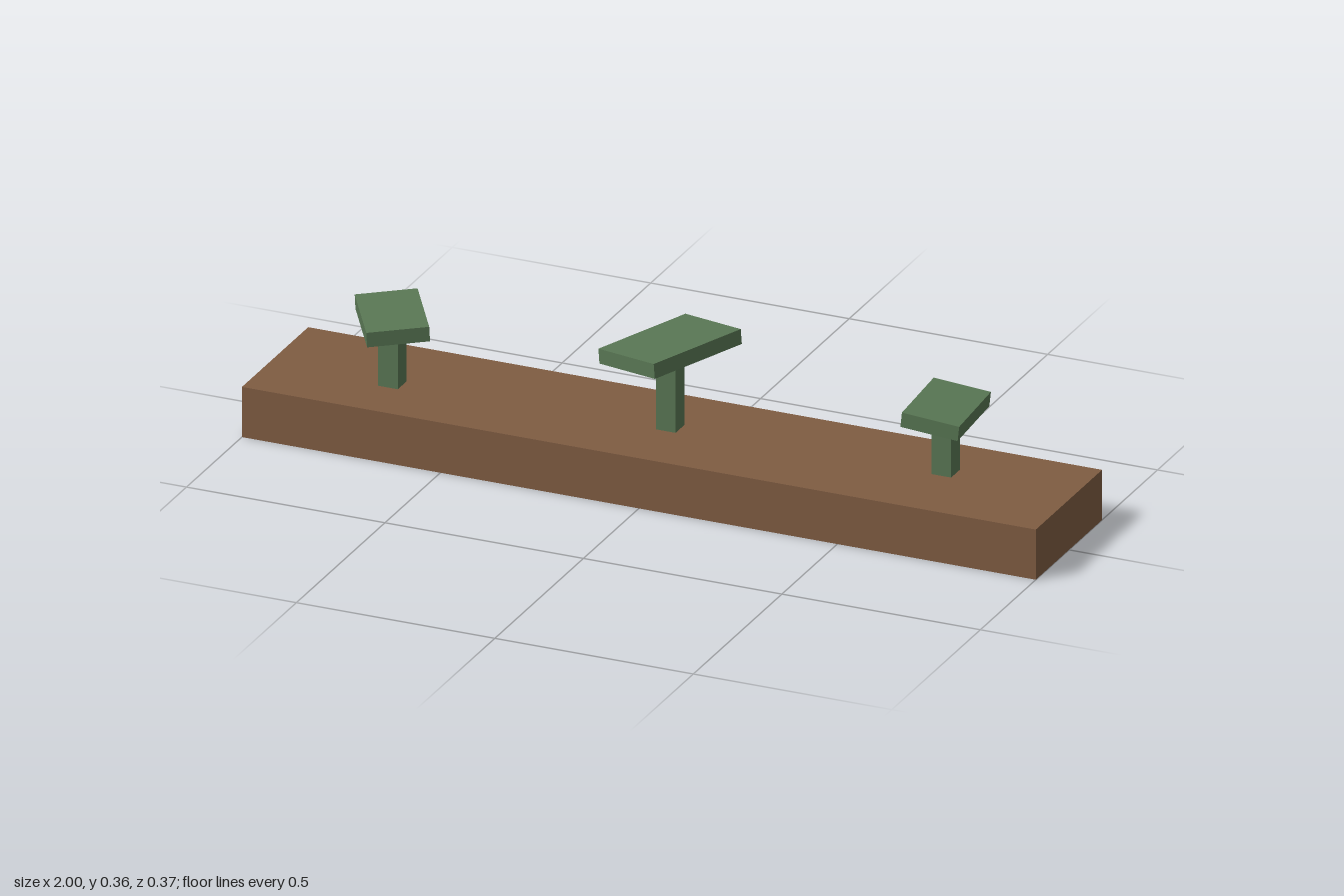
import * as THREE from 'three';

const brown = new THREE.MeshStandardMaterial({ name: 'soil brown', color: 0x7f5c42, side: THREE.DoubleSide });
const green = new THREE.MeshStandardMaterial({ name: 'leaf green', color: 0x597754, side: THREE.DoubleSide });

// Thin-walled box with no underside
function openBox(name, w, h, d, material) {
  const geometry = new THREE.BoxGeometry(w, h, d);
  const index = Array.from(geometry.index.array);
  index.splice(18, 6); // drop the bottom face
  geometry.setIndex(index);
  geometry.clearGroups();
  const mesh = new THREE.Mesh(geometry, material);
  mesh.name = name;
  return mesh;
}

const BASE_HEIGHT = 0.126;
const STEM_WIDTH = 0.05;
const CAP_THICKNESS = 0.0365;

// Each plant: stem position, cap centre height, cap size, yaw and roll in degrees
const plants = [
  { name: 'rightPlant', x: -0.692, z: 0.028, y: 0.291, w: 0.146, d: 0.222, yaw: 31, roll: 3 },
  { name: 'middlePlant', x: -0.007, z: -0.005, y: 0.329, w: 0.181, d: 0.283, yaw: -21, roll: 5.5 },
  { name: 'leftPlant', x: 0.676, z: -0.03, y: 0.283, w: 0.141, d: 0.213, yaw: 4, roll: -6 },
];

function createPlant({ name, x, z, y, w, d, yaw, roll }) {
  const plant = new THREE.Group();
  plant.name = name;
  plant.position.set(x, 0, z);

  // Upright stem ending just inside the hollow cap
  const stemTop = y - 0.02;
  const stemHeight = stemTop - BASE_HEIGHT;
  const stem = openBox('stem', STEM_WIDTH, stemHeight, STEM_WIDTH, green);
  stem.position.y = BASE_HEIGHT + stemHeight / 2;

  // Turned and tilted cap
  const cap = openBox('cap', w, CAP_THICKNESS, d, green);
  cap.position.y = y;
  cap.rotation.set(0, THREE.MathUtils.degToRad(yaw), THREE.MathUtils.degToRad(roll));

  plant.add(stem, cap);
  return plant;
}

export function createModel() {
  const model = new THREE.Group();
  model.name = 'plantedBed';

  // Long hollow bed
  const bed = openBox('bed', 2, BASE_HEIGHT, 0.374, brown);
  bed.position.y = BASE_HEIGHT / 2;
  model.add(bed);

  for (const plant of plants) model.add(createPlant(plant));
  return model;
}
